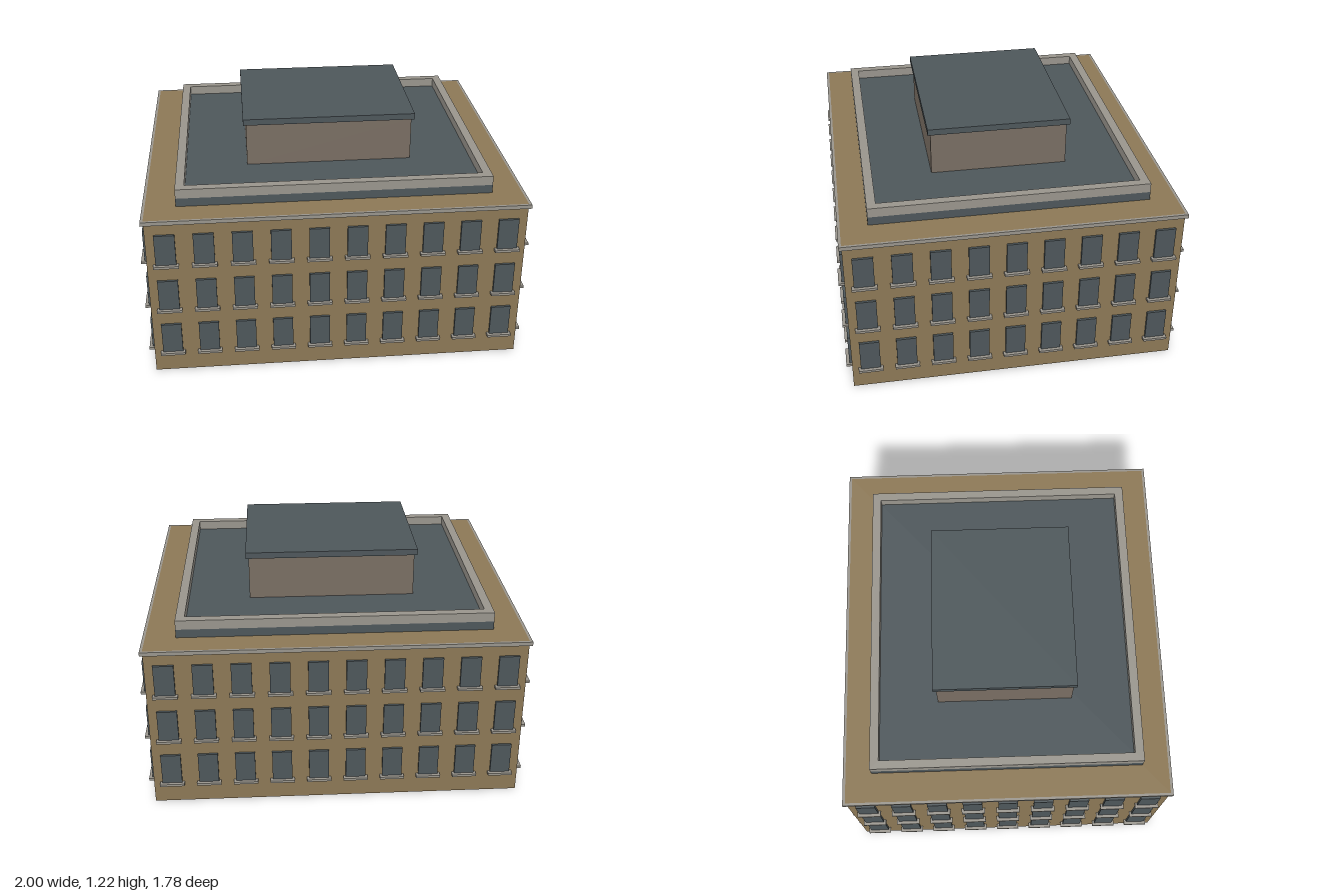
import * as THREE from 'three';

const mat = (name, color) => {
  const m = new THREE.MeshStandardMaterial({ color });
  m.name = name;
  return m;
};

export function createModel() {
  const wall = mat('brown wall', 0x8b7755);
  const stone = mat('pale stone', 0x98948c);
  const slate = mat('dark slate', 0x4d565a);
  const upper = mat('taupe wall', 0x786d62);

  const model = new THREE.Group();
  model.name = 'building';

  const W = 0.97, D = 0.862, ROOF = 0.905; // half width, half depth, wall height

  // Box given by half sizes in x and z, and its bottom and top heights
  function block(name, hx, hz, y0, y1, material) {
    const mesh = new THREE.Mesh(new THREE.BoxGeometry(2 * hx, y1 - y0, 2 * hz), material);
    mesh.position.y = (y0 + y1) / 2;
    mesh.name = name;
    model.add(mesh);
  }

  // Rectangular ring with an open middle
  function ring(name, hx, hz, ix, iz, y0, y1, material) {
    const rect = (Type, x, z) => new Type([[-x, -z], [x, -z], [x, z], [-x, z]]
      .map(p => new THREE.Vector2(...p)));
    const shape = rect(THREE.Shape, hx, hz);
    shape.holes.push(rect(THREE.Path, ix, iz));
    const geometry = new THREE.ExtrudeGeometry(shape, { depth: y1 - y0, bevelEnabled: false });
    geometry.rotateX(-Math.PI / 2);
    const mesh = new THREE.Mesh(geometry, material);
    mesh.position.y = y0;
    mesh.name = name;
    model.add(mesh);
  }

  // Main walls and cornice
  block('mainWalls', W, D, 0, ROOF, wall);
  ring('cornice', 0.984, 0.876, W, D, 0.884, ROOF, stone);

  // Raised flat roof with parapet
  block('flatRoof', 0.814, 0.724, ROOF, 0.95, slate);
  ring('parapet', 0.814, 0.724, 0.768, 0.677, 0.95, 1.0, stone);

  // Rooftop room
  block('rooftopRoom', 0.442, 0.362, 0.95, 1.183, upper);
  block('rooftopRoomCap', 0.457, 0.377, 1.183, 1.216, slate);

  // Windows and sills: three rows on each facade
  const paneGeometry = new THREE.BoxGeometry(0.104, 0.174, 0.013);
  const sillGeometry = new THREE.BoxGeometry(0.128, 0.013, 0.03);
  const facades = [
    ['front', 0, 2 * W, D, 10],
    ['left', Math.PI / 2, 2 * D, W, 9],
    ['back', Math.PI, 2 * W, D, 10],
    ['right', -Math.PI / 2, 2 * D, W, 9],
  ];
  for (const [side, angle, width, distance, count] of facades) {
    const facade = new THREE.Group();
    facade.name = side + 'Windows';
    facade.rotation.y = angle;
    for (const y of [0.118, 0.384, 0.65]) {
      for (let i = 0; i < count; i++) {
        const x = (i - (count - 1) / 2) * width / count;
        const pane = new THREE.Mesh(paneGeometry, slate);
        pane.name = 'windowPane';
        pane.position.set(x, y + 0.087, distance + 0.0065);
        const sill = new THREE.Mesh(sillGeometry, stone);
        sill.name = 'windowSill';
        sill.position.set(x, y - 0.002, distance + 0.015);
        facade.add(pane, sill);
      }
    }
    model.add(facade);
  }
  return model;
}
